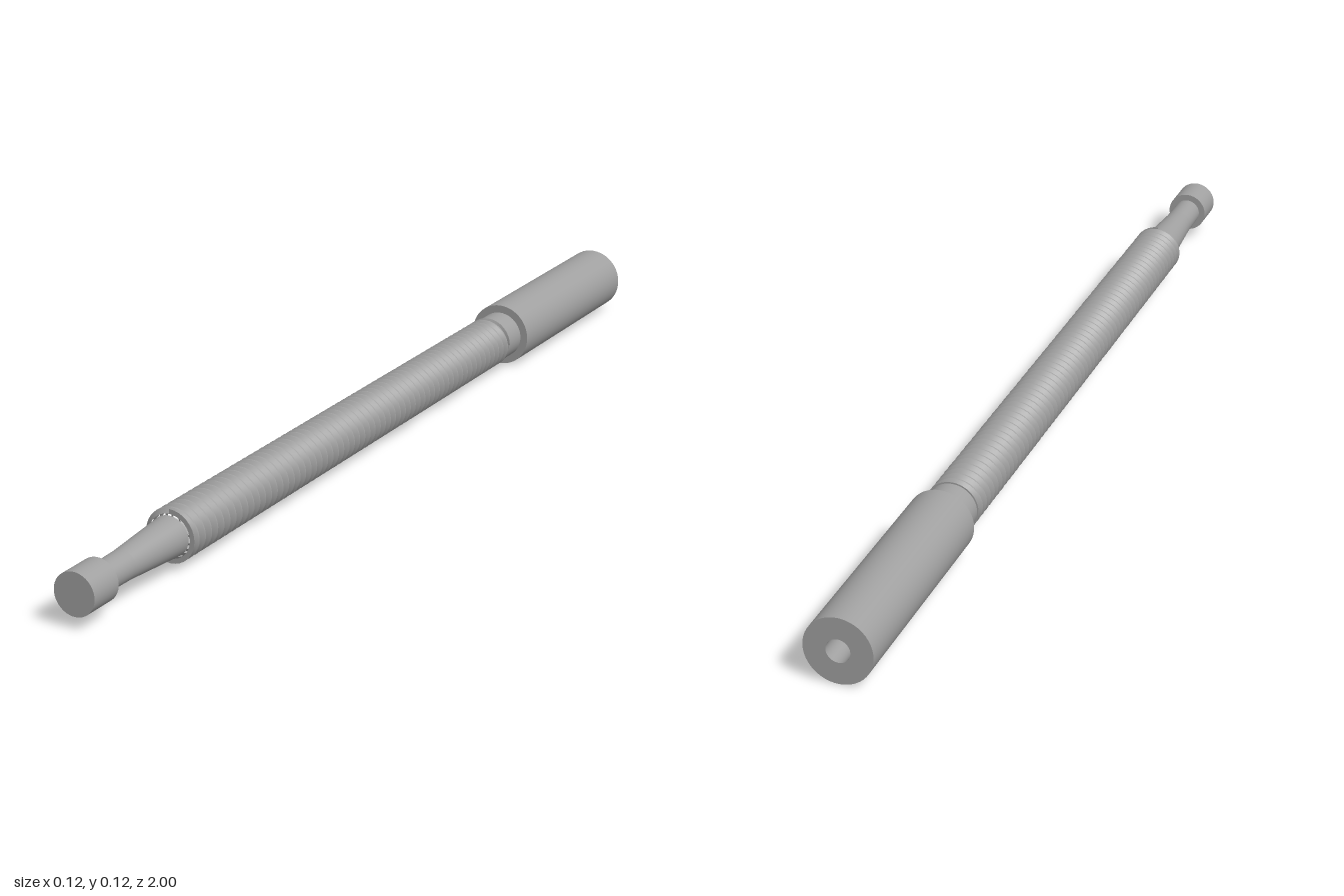
import * as THREE from 'three';
import { mergeGeometries } from 'three/addons/utils/BufferGeometryUtils.js';

const R = 0.0625; // handle radius, also the height of the axis

// Turned part around the long axis; every profile step keeps a sharp edge
function turned(name, profile, material) {
  const bands = [];
  for (let i = 0; i < profile.length - 1; i++) {
    const pair = [profile[i], profile[i + 1]].map(([r, y]) => new THREE.Vector2(r, y));
    bands.push(new THREE.LatheGeometry(pair, 48));
  }
  const mesh = new THREE.Mesh(mergeGeometries(bands), material);
  mesh.name = name;
  return mesh;
}

// Helical thread: each flank and the crest is one strip wound along the axis
function thread(y0, y1, root, crest, pitch, material) {
  const steps = 32;
  const count = Math.ceil(((y1 - y0) / pitch + 1) * steps);
  const profile = [[root, 0], [crest, 0.42], [crest, 0.58], [root, 1]];
  const strips = [];
  for (let k = 0; k < 3; k++) {
    const positions = [], index = [];
    for (let i = 0; i <= count; i++) {
      const angle = (i / steps) * Math.PI * 2;
      for (const [r, t] of [profile[k], profile[k + 1]]) {
        const y = THREE.MathUtils.clamp(y0 + pitch * (i / steps + t - 1), y0, y1);
        positions.push(r * Math.cos(angle), y, -r * Math.sin(angle));
      }
      if (i < count) {
        const a = 2 * i;
        index.push(a, a + 2, a + 3, a, a + 3, a + 1);
      }
    }
    const g = new THREE.BufferGeometry();
    g.setAttribute('position', new THREE.Float32BufferAttribute(positions, 3));
    g.setIndex(index);
    g.computeVertexNormals();
    strips.push(g);
  }
  const mesh = new THREE.Mesh(mergeGeometries(strips), material);
  mesh.name = 'thread';
  return mesh;
}

export function createModel() {
  const steel = new THREE.MeshStandardMaterial({ color: 0xa0a0a0 });
  steel.name = 'grey steel';

  const screw = new THREE.Group();
  screw.name = 'screw';

  // Thick sleeve with a blind bore in its rear face
  screw.add(turned('handle', [
    [0, -0.7], [0.022, -0.7], [0.022, -1], [R, -1], [R, -0.545], [0, -0.545],
  ], steel));
  // Plain shoulder between sleeve and thread
  screw.add(turned('collar', [[0.047, -0.545], [0.047, -0.49], [0, -0.49]], steel));
  screw.add(thread(-0.49, 0.715, 0.041, 0.05, 0.02, steel));
  // Tapering neck and round tip
  screw.add(turned('neck', [[0.038, 0.715], [0.028, 0.86], [0.027, 0.93]], steel));
  screw.add(turned('tip', [[0, 0.93], [0.04, 0.93], [0.04, 1], [0, 1]], steel));

  // Lay the long axis along z
  screw.rotation.x = Math.PI / 2;
  screw.position.y = R;

  const model = new THREE.Group();
  model.name = 'threadedRod';
  model.add(screw);
  return model;
}
